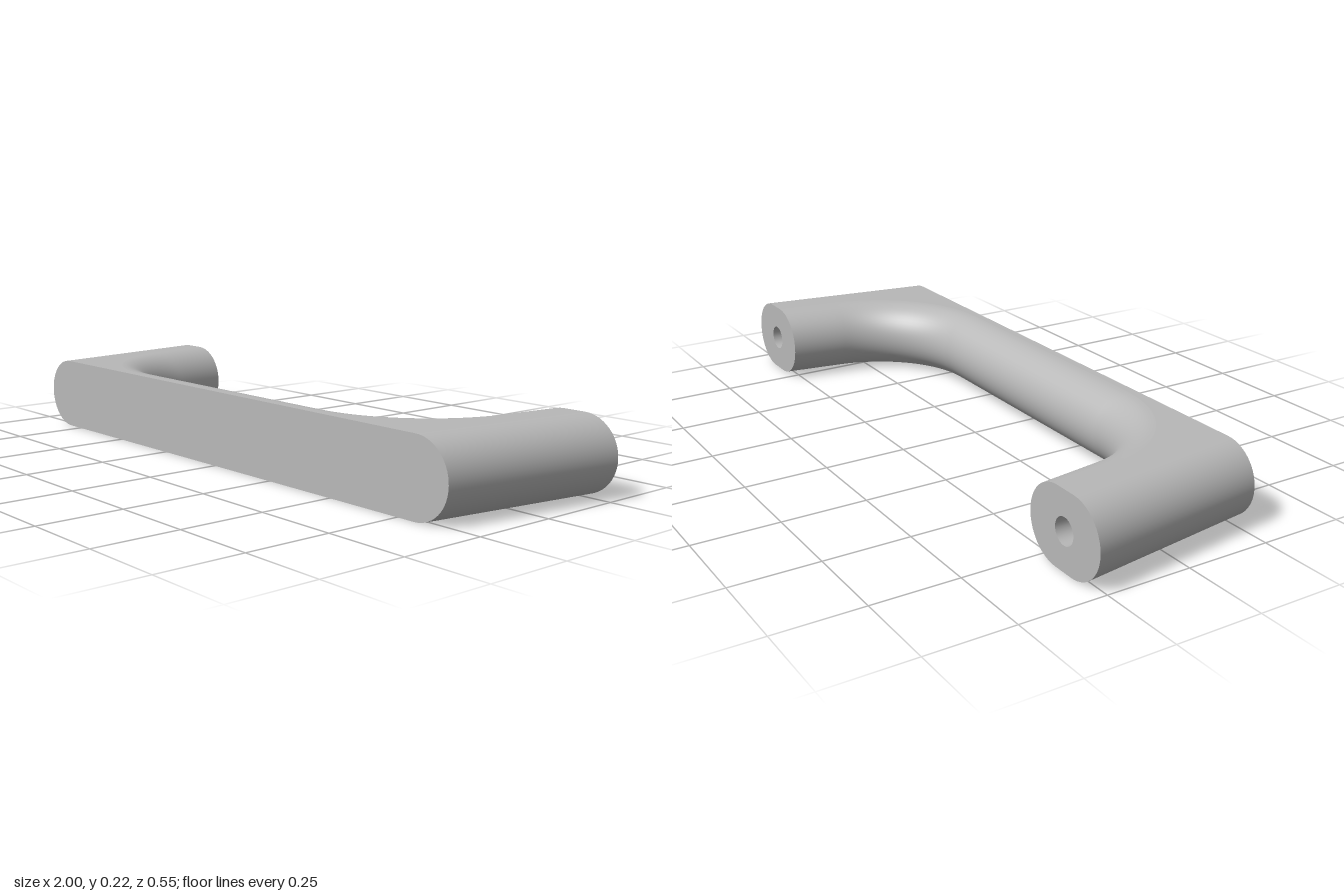
import * as THREE from 'three';

const R = 0.11;                 // half height, also the edge rounding radius
const FRONT = 0.275, BACK = -0.275;
const SLOPE = 0.08 / 0.55;      // inward lean of the legs
const LEAN = Math.atan(SLOPE);
const K = 1 / Math.cos(LEAN);
const LEG_IN = 0.71, LEG_OUT = 1; // leg extents at the back
const BAR_Z = 0.14, BEND = 0.28;  // inner side of the grip and its corner radius
const ROWS = 28;

// Rounded section: height and inset for each row
const levels = Array.from({ length: ROWS + 1 }, (_, i) => {
  const a = -Math.PI / 2 + Math.PI * i / ROWS;
  return { y: R + R * Math.sin(a), d: R * (1 - Math.cos(a)) };
});

// Inner U outline, as [x, z], from the left leg round to the right leg
function innerLine(d) {
  const cz = BAR_Z - BEND;
  const endZ = cz + BEND * Math.sin(LEAN);
  const cx = LEG_IN - SLOPE * (endZ - BACK) - BEND * Math.cos(LEAN);
  const half = [[LEG_IN + d * K, BACK]];
  for (let i = 0; i <= 20; i++) {
    const a = LEAN + (Math.PI / 2 - LEAN) * i / 20;
    half.push([cx + (BEND + d) * Math.cos(a), cz + (BEND + d) * Math.sin(a)]);
  }
  return [...half, ...half.slice().reverse().map(([x, z]) => [-x, z])];
}

// Outer edge of the left leg, front to back
const outerLine = (d) => [
  [LEG_OUT - SLOPE * (FRONT - BACK) - d * K, FRONT],
  [LEG_OUT - d * K, BACK],
];
const mirrored = (line) => line.slice().reverse().map(([x, z]) => [-x, z]);

// Smooth skin through one line per level
function skin(lineAt) {
  const pos = [], index = [];
  const n = lineAt(0).length;
  levels.forEach(({ y, d }, v) => {
    lineAt(d).forEach(([x, z], u) => {
      pos.push(x, y, z);
      if (v < ROWS && u < n - 1) {
        const a = v * n + u, b = a + n;
        index.push(a, a + 1, b, a + 1, b + 1, b);
      }
    });
  });
  const g = new THREE.BufferGeometry();
  g.setAttribute('position', new THREE.Float32BufferAttribute(pos, 3));
  g.setIndex(index);
  g.computeVertexNormals();
  return g;
}

const shapeOf = (pts) => new THREE.Shape(pts.map(([x, y]) => new THREE.Vector2(x, y)));

export function createModel() {
  const group = new THREE.Group();
  const metal = new THREE.MeshStandardMaterial({ color: 0xb8b8b8 });
  metal.name = 'satin grey metal';
  const add = (name, geometry) => {
    const mesh = new THREE.Mesh(geometry, metal);
    mesh.name = name;
    group.add(mesh);
    return mesh;
  };

  // Rounded sides
  add('innerGrip', skin(innerLine));
  add('leftLegSide', skin(outerLine));
  add('rightLegSide', skin((d) => mirrored(outerLine(d))));

  // Flat top and bottom
  const outline = [...innerLine(R), ...mirrored(outerLine(R)), ...outerLine(R)];
  const top = new THREE.ShapeGeometry(shapeOf(outline.map(([x, z]) => [x, -z])));
  add('topFace', top.rotateX(-Math.PI / 2)).position.y = 2 * R;
  add('bottomFace', new THREE.ShapeGeometry(shapeOf(outline)).rotateX(Math.PI / 2));

  // Flat front
  const edge = levels.map(({ y, d }) => [outerLine(d)[0][0], y]);
  add('frontFace', new THREE.ShapeGeometry(shapeOf([...edge, ...mirrored(edge)])))
    .position.z = FRONT;

  // Mounting ends with blind screw holes
  const holeX = (LEG_IN + LEG_OUT) / 2, holeR = 0.038, depth = 0.3;
  for (const [side, s] of [['left', 1], ['right', -1]]) {
    const end = shapeOf([
      ...levels.map(({ y, d }) => [-s * (LEG_OUT - d * K), y]),
      ...levels.map(({ y, d }) => [-s * (LEG_IN + d * K), y]).reverse(),
    ]);
    const hole = new THREE.Path();
    hole.absarc(-s * holeX, R, holeR, 0, Math.PI * 2, true);
    end.holes.push(hole);
    add(side + 'MountingEnd', new THREE.ShapeGeometry(end, 16).rotateY(Math.PI)).position.z = BACK;

    const wall = [[holeR, 0], [holeR, -depth]], floor = [[holeR, -depth], [0, -depth]];
    [['ScrewHole', wall], ['ScrewHoleFloor', floor]].forEach(([name, pts]) => {
      const g = new THREE.LatheGeometry(pts.map(([x, y]) => new THREE.Vector2(x, y)), 32);
      add(side + name, g.rotateX(-Math.PI / 2)).position.set(s * holeX, R, BACK);
    });
  }
  return group;
}
